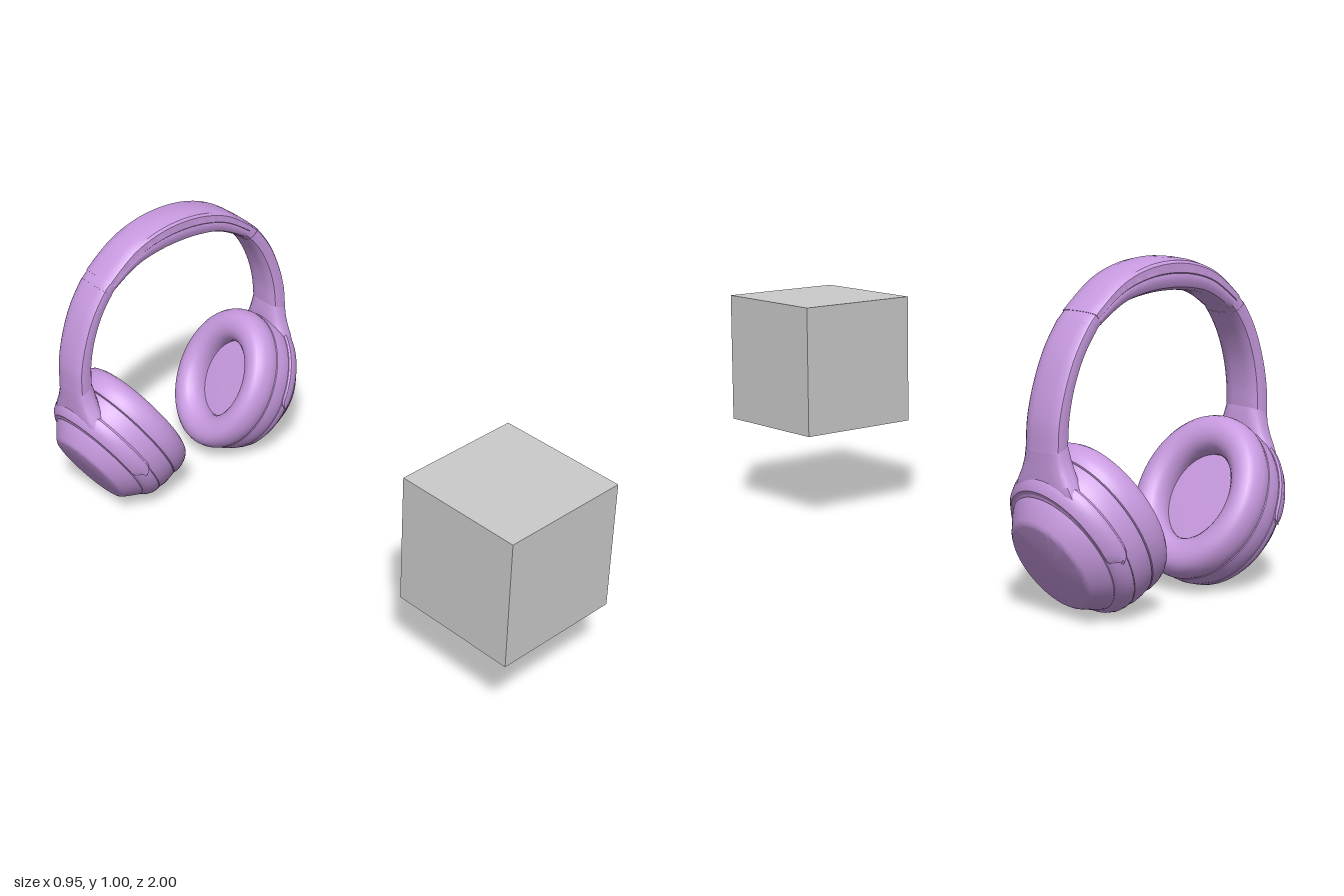
import * as THREE from 'three';
import { toCreasedNormals } from 'three/addons/utils/BufferGeometryUtils.js';

const ZC = -0.782; // depth at which the headphones stand
const purple = new THREE.MeshStandardMaterial({ color: 0xc89ae0 });
const grey = new THREE.MeshStandardMaterial({ color: 0xcccccc });
const V = (x, y) => new THREE.Vector3(x, y, 0);

// Mirror a half section [across, height] into a closed ring
const closeRing = (half) => [...half, ...half.slice(1, -1).reverse().map(([w, t]) => [-w, t])];
const armRing = closeRing([[0, 1], [0.5, 0.985], [0.85, 0.93], [0.98, 0.83], [1, 0.65],
  [1, 0.42], [0.93, 0.2], [0.75, 0.06], [0.4, 0.01], [0, 0]]);
const padRing = closeRing([[0, 1], [0.5, 0.985], [0.9, 0.92], [1, 0.84], [1, 0.57],
  [0.96, 0.54], [0.98, 0.48], [0.95, 0.3], [0.83, 0.13], [0.55, 0.03], [0, 0]]);

// Skin a ring along stations { outer, inner, hw }
function loft(stations, ring) {
  const pos = [], idx = [], n = ring.length;
  for (const { outer, inner, hw } of stations) {
    for (const [w, t] of ring) {
      const p = inner.clone().lerp(outer, t);
      pos.push(p.x, p.y, ZC + w * hw);
    }
  }
  for (let i = 0; i < stations.length - 1; i++) {
    for (let j = 0; j < n; j++) {
      const a = i * n + j, b = i * n + (j + 1) % n;
      idx.push(a, a + n, b, b, a + n, b + n);
    }
  }
  // End caps
  for (const s of [0, stations.length - 1]) {
    const c = pos.length / 3;
    const mid = stations[s].inner.clone().lerp(stations[s].outer, 0.5);
    pos.push(mid.x, mid.y, ZC);
    for (let j = 0; j < n; j++) {
      const a = s * n + j, b = s * n + (j + 1) % n;
      if (s === 0) idx.push(c, a, b);
      else idx.push(c, b, a);
    }
  }
  const g = new THREE.BufferGeometry();
  g.setAttribute('position', new THREE.Float32BufferAttribute(pos, 3));
  g.setIndex(idx);
  return g;
}

// Mirror a geometry in x, keeping its faces outward
function mirrored(geo) {
  const g = geo.clone().scale(-1, 1, 1), ix = g.index;
  for (let i = 0; i < ix.count; i += 3) {
    const t = ix.getX(i);
    ix.setX(i, ix.getX(i + 1));
    ix.setX(i + 1, t);
  }
  return g;
}

// Matching outer and inner edges of the band, from the left end to the crown
const outerHalf = [[0.45, 0.5], [0.446, 0.58], [0.425, 0.67], [0.385, 0.77], [0.328, 0.855],
  [0.305, 0.877], [0.2, 0.957], [0.1, 0.994], [0, 1.005]];
const innerHalf = [[0.385, 0.525], [0.38, 0.6], [0.362, 0.68], [0.325, 0.763], [0.283, 0.819],
  [0.265, 0.835], [0.17, 0.885], [0.085, 0.902], [0, 0.907]];
const fullCurve = (half) => new THREE.CatmullRomCurve3(
  [...half, ...half.slice(0, -1).reverse().map(([x, y]) => [-x, y])].map(([x, y]) => V(x, y)));
const outerCurve = fullCurve(outerHalf), innerCurve = fullCurve(innerHalf);

// Stations between two control points of the band
function bandStations(from, to, steps, hw, inset = 0) {
  return Array.from({ length: steps + 1 }, (_, i) => {
    const t = (from + (to - from) * i / steps) / 16;
    const o = outerCurve.getPoint(t), n = innerCurve.getPoint(t);
    return { outer: o.clone().lerp(n, inset), inner: n.clone().lerp(o, inset), hw };
  });
}

// Place a geometry turned about y into the tilted frame of the left ear cup
function toCup(geo, depthScale) {
  const basis = new THREE.Matrix4().makeBasis(
    new THREE.Vector3(0.5, 0.866, 0), new THREE.Vector3(-0.866, 0.5, 0), new THREE.Vector3(0, 0, 1));
  geo.scale(1, 1, depthScale).translate(0.343, 0, 0).applyMatrix4(basis);
  return geo.translate(-0.26, 0, 0).rotateY(-0.05).translate(0.26, 0, ZC);
}
const lathe = (pts, start = 0, len = Math.PI * 2, seg = 72) =>
  new THREE.LatheGeometry(pts.map(([r, a]) => new THREE.Vector2(r, a)), seg, start, len);

// Half ring gripping the cup, with rounded tab ends
function forkGeometry() {
  const start = -0.03, len = Math.PI + 0.06, seg = 64;
  const profile = [[0.2, -0.204], [0.222, -0.203], [0.24, -0.188], [0.251, -0.165],
    [0.252, -0.15], [0.247, -0.143], [0.2, -0.143]];
  const g = lathe(profile, start, len, seg), p = g.attributes.position;
  for (let i = 0; i < p.count; i++) {
    const step = Math.floor(i / profile.length);
    const d = Math.min(1, Math.min(step, seg - step) / seg * len / 0.16);
    p.setY(i, -0.173 + (p.getY(i) + 0.173) * Math.sqrt(1 - (1 - d) ** 2));
  }
  return g;
}

export function createModel() {
  const model = new THREE.Group();
  const headphones = new THREE.Group();
  headphones.name = 'headphones';
  model.add(headphones);

  const add = (name, geo, crease = 0.6) => {
    const mesh = new THREE.Mesh(toCreasedNormals(geo, crease), purple);
    mesh.name = name;
    headphones.add(mesh);
  };
  const addPair = (name, geo, crease) => {
    add(name + 'Left', geo, crease);
    add(name + 'Right', mirrored(geo), crease);
  };

  // Headband
  add('headbandPad', loft(bandStations(5, 11, 60, 0.066), padRing));
  addPair('bandCollar', loft(bandStations(4, 5, 6, 0.064, 0.02), armRing));
  addPair('bandArm', loft(bandStations(0, 4, 32, 0.065), armRing));

  // Flared stem joining the arm to the cup
  const stem = [
    [0.42, 0.33, 0.35, 0.36, 0.13], [0.443, 0.37, 0.365, 0.4, 0.118], [0.447, 0.41, 0.375, 0.435, 0.098],
    [0.448, 0.44, 0.376, 0.465, 0.082], [0.449, 0.47, 0.379, 0.495, 0.071], [0.45, 0.5, 0.385, 0.525, 0.065],
  ].map(([ox, oy, ix, iy, hw]) => ({ outer: V(ox, oy), inner: V(ix, iy), hw }));
  addPair('yokeStem', loft(stem, armRing), 0.8);
  addPair('yokeFork', toCup(forkGeometry(), 0.85));

  // Ear cups, from the outer cap to the cushion
  addPair('cupCap', toCup(lathe([[0, -0.264], [0.142, -0.264], [0.15, -0.262], [0.16, -0.255],
    [0.196, -0.215], [0.202, -0.206], [0.2, -0.2], [0.15, -0.19]]), 0.9));
  addPair('cupHousing', toCup(lathe([[0, -0.205], [0.2, -0.206], [0.21, -0.204], [0.225, -0.193],
    [0.237, -0.176], [0.242, -0.16], [0.242, -0.152], [0.238, -0.149]]), 0.85));
  addPair('cupRing', toCup(lathe([[0.235, -0.152], [0.243, -0.149], [0.249, -0.13], [0.251, -0.105],
    [0.25, -0.083], [0.244, -0.079]]), 0.845));
  addPair('earCushion', toCup(lathe([[0.24, -0.082], [0.25, -0.078], [0.255, -0.062], [0.255, -0.045],
    [0.251, -0.025], [0.243, -0.009], [0.231, 0.003], [0.215, 0.01], [0.197, 0.012], [0.178, 0.009],
    [0.16, 0], [0.147, -0.014], [0.139, -0.032], [0.137, -0.05], [0.14, -0.07]]), 0.845));
  addPair('speakerCover', toCup(lathe([[0.15, -0.066], [0, -0.064]]), 0.845));

  // Separate block in front
  const block = new THREE.Mesh(new THREE.BoxGeometry(0.434, 0.434, 0.434), grey);
  block.name = 'block';
  block.position.set(0, 0.521, 0.783);
  model.add(block);

  return model;
}
